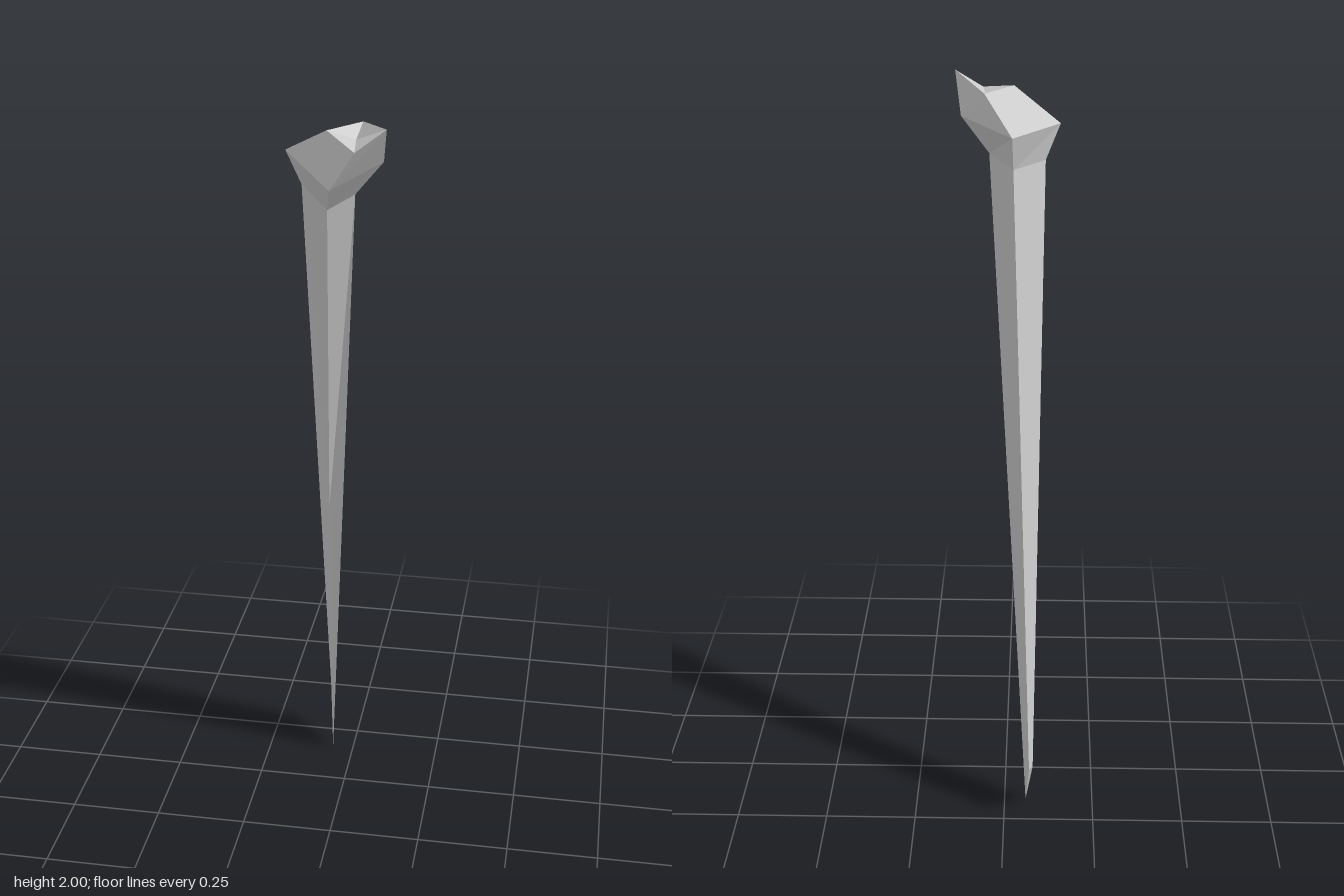
import * as THREE from 'three';

// Corner points of the faceted spike
const P = {
  // head: sloped back plate
  A: [-0.018, 1.9, -0.105], B: [-0.137, 1.9, 0.06], C: [-0.018, 1.975, 0.152], D: [0.055, 1.975, 0.052],
  // head: overhanging lip
  E: [0, 1.85, 0.23], F: [0.065, 1.95, 0.253], G: [0.136, 2, 0.222], H: [0.118, 1.9, 0.135],
  // head: small dent in the top
  I: [0.09, 1.986, 0.125], J: [0.047, 1.945, 0.11], K: [0, 1.975, 0.127],
  // neck corners
  S1: [-0.1, 1.81, 0.045], S2: [-0.02, 1.775, 0.137], S3: [0.045, 1.81, 0.11], S4: [-0.02, 1.81, -0.057],
  // end of the front ridge, chisel shoulder and tip
  R: [-0.05, 0.87, -0.05], U1: [-0.08, 0.17, -0.24], U2: [-0.07, 0.17, -0.255], T: [-0.06, 0, -0.155],
};

// Builds a faceted mesh; each face is a fan of named corners
function facets(name, faces) {
  const pos = [];
  for (const face of faces) {
    const c = face.split(' ');
    for (let i = 1; i < c.length - 1; i++) pos.push(...P[c[0]], ...P[c[i]], ...P[c[i + 1]]);
  }
  const geo = new THREE.BufferGeometry();
  geo.setAttribute('position', new THREE.Float32BufferAttribute(pos, 3));
  geo.computeVertexNormals();
  const mesh = new THREE.Mesh(geo, new THREE.MeshStandardMaterial({ color: 0xcccccc, flatShading: true }));
  mesh.name = name;
  return mesh;
}

export function createModel() {
  const group = new THREE.Group();
  group.name = 'bentSpike';
  group.add(
    facets('head', [
      'A B C K D', 'B E F C', 'J K C F G I', 'K J D', 'D J I', // top and dent
      'H A D I G', 'E H G F', // side and lip
      'B A S4 S1', 'E B S1 S2', 'H E S2 S3', 'A H S3 S4', // underside flare
    ]),
    facets('shaft', [
      'S1 S4 U2 U1', 'S4 S3 T U2', // back faces
      'S2 S1 R', 'S3 S2 R', 'R S1 U1', 'R U1 T', 'S3 R T', // ridged front
      'U2 T U1', // chisel tip
    ]),
  );
  return group;
}
